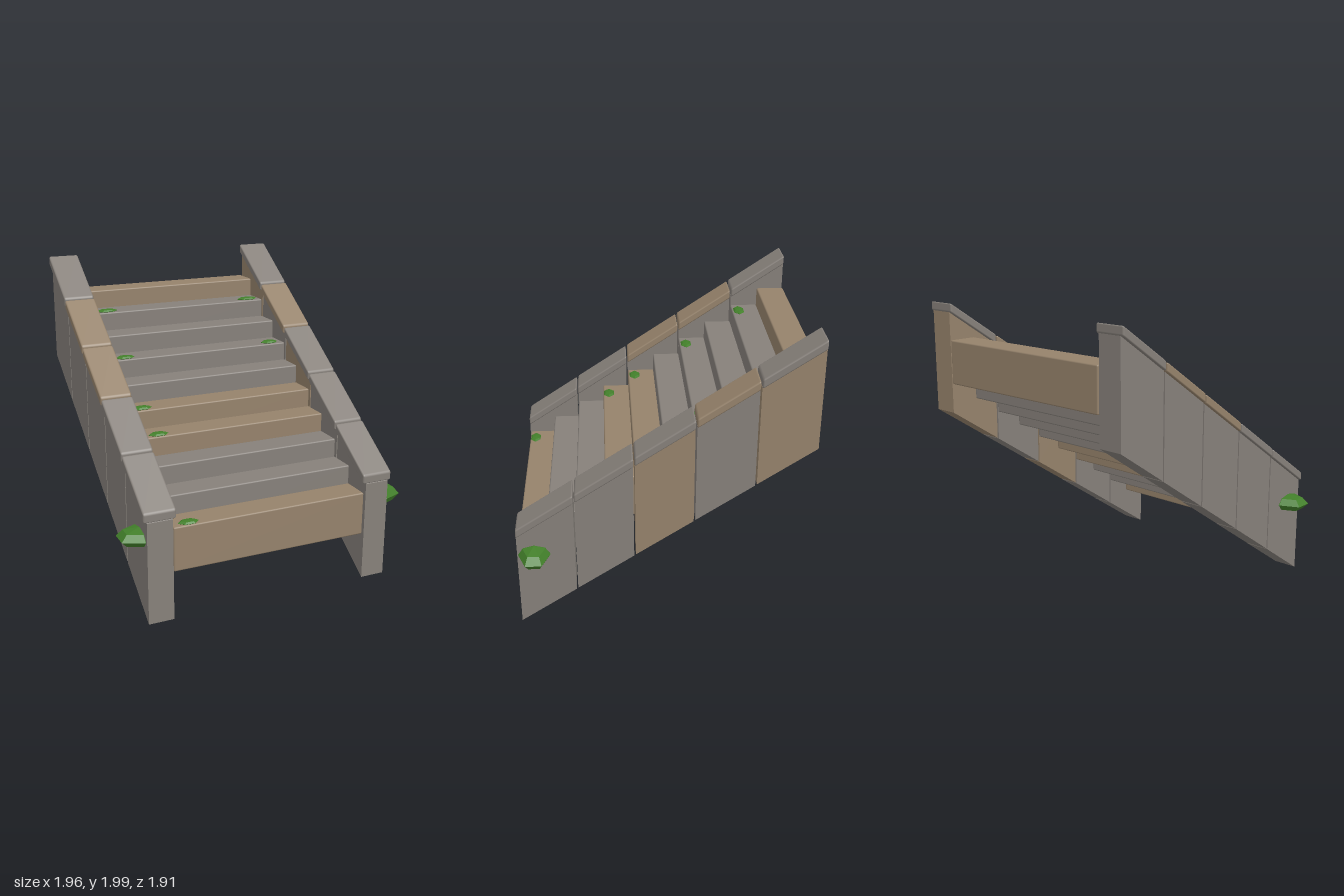
import * as THREE from 'three';
import { RoundedBoxGeometry } from 'three/addons/geometries/RoundedBoxGeometry.js';

const SLOPE = 0.66;
const GREY = new THREE.MeshStandardMaterial({ color: 0x86807a });
const TAN = new THREE.MeshStandardMaterial({ color: 0x95826b });
const GREEN = new THREE.MeshStandardMaterial({ color: 0x427f2a, flatShading: true });

// Lean a block along the stair slope, keeping its ends upright
const lean = (geometry) => geometry.applyMatrix4(new THREE.Matrix4().set(
  1, 0, 0, 0,
  0, 1, -SLOPE, 0,
  0, 0, 1, 0,
  0, 0, 0, 1));

function add(parent, name, geometry, material, x, y, z) {
  const mesh = new THREE.Mesh(geometry, material);
  mesh.name = name;
  mesh.position.set(x, y, z);
  parent.add(mesh);
  return mesh;
}

export function createModel() {
  const model = new THREE.Group();
  model.name = 'stoneStaircase';

  // Stone steps, each a worn block
  const stepGeometry = new RoundedBoxGeometry(1.345, 0.295, 0.192, 2, 0.01);
  const tanSteps = [0, 3, 4, 9];
  for (let i = 0; i < 10; i++) {
    add(model, 'step', stepGeometry, tanSteps.includes(i) ? TAN : GREY,
      -0.005, 0.4675 + i * 0.1268, 0.85 - i * 0.1899);
  }

  // Side walls: sloping panels with overhanging coping stones
  const panelGeometry = lean(new THREE.BoxGeometry(0.168, 0.675, 0.372));
  const copingGeometry = lean(new RoundedBoxGeometry(0.212, 0.062, 0.374, 2, 0.012));
  const sides = [
    { name: 'leftWall', x: 0.76, tanPanels: [2, 4], tanCopings: [3] },
    { name: 'rightWall', x: -0.767, tanPanels: [], tanCopings: [2, 3] },
  ];
  for (const side of sides) {
    const wall = new THREE.Group();
    wall.name = side.name;
    for (let i = 0; i < 5; i++) {
      const y = i * 0.254, z = 0.767 - i * 0.3825;
      add(wall, 'wallPanel', panelGeometry, side.tanPanels.includes(i) ? TAN : GREY,
        side.x, 0.462 + y, z);
      add(wall, 'copingStone', copingGeometry, side.tanCopings.includes(i) ? TAN : GREY,
        side.x, 0.83 + y, z);
    }
    model.add(wall);
  }

  // Flat moss patches on the treads: step index, x, z, half width
  const mossGeometry = new THREE.SphereGeometry(1, 6, 4);
  const patches = [
    [0, -0.565, 0.905, 0.07],
    [3, -0.535, 0.335, 0.07],
    [4, -0.575, 0.14, 0.07],
    [6, -0.555, -0.24, 0.07],
    [6, 0.56, -0.24, 0.066],
    [8, -0.555, -0.62, 0.08],
    [8, 0.56, -0.62, 0.082],
  ];
  for (const [step, x, z, r] of patches) {
    add(model, 'mossPatch', mossGeometry, GREEN, x, 0.619 + step * 0.1268, z)
      .scale.set(r, 0.014, 0.042);
  }

  // Moss clumps on the outer faces near the foot
  const clumpGeometry = new THREE.SphereGeometry(1, 6, 4).rotateY(Math.PI / 2);
  add(model, 'mossClump', clumpGeometry, GREEN, 0.85, 0.54, 0.842).scale.set(0.15, 0.067, 0.105);
  add(model, 'mossClump', clumpGeometry, GREEN, -0.855, 0.545, 0.82).scale.set(0.15, 0.058, 0.117);

  return model;
}
